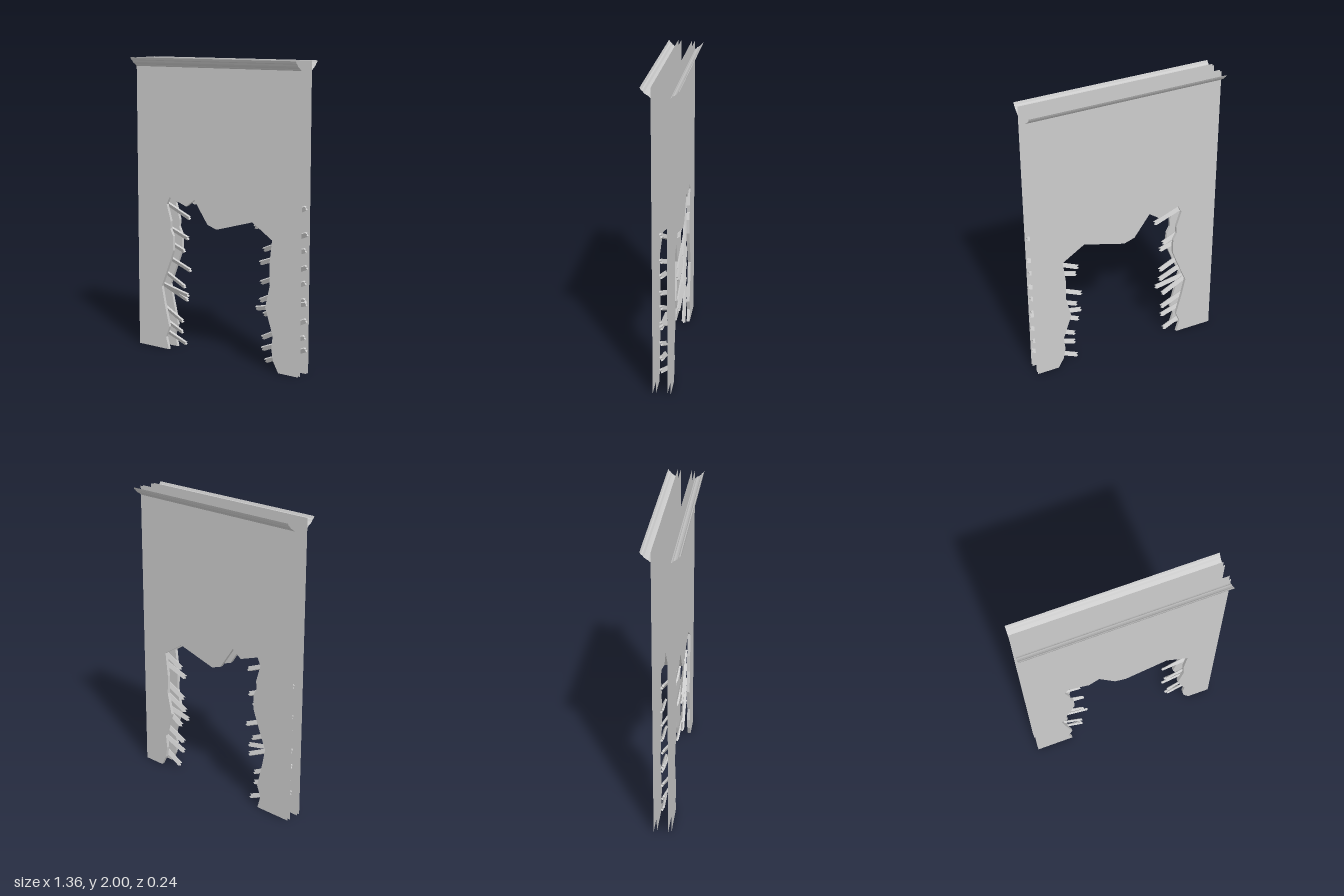
import * as THREE from 'three';

const material = new THREE.MeshStandardMaterial({ color: 0xcccccc, flatShading: true, side: THREE.DoubleSide });
const LEFT = -0.68, RIGHT = 0.655, TOP = 2;
const INNER = 0.037, OUTER = 0.058;

// Ragged edge of the opening, from the bottom on one side to the bottom on the other
const hole = [
  [-0.415, 0], [-0.44, 0.085], [-0.41, 0.16], [-0.45, 0.32], [-0.475, 0.44], [-0.4, 0.62], [-0.37, 0.7],
  [-0.37, 0.8], [-0.395, 0.85], [-0.39, 0.9], [-0.425, 1.015], [-0.4, 1.065], [-0.255, 1.015], [-0.185, 1.065],
  [-0.075, 0.91], [0, 0.885], [0.29, 0.965], [0.445, 0.865], [0.425, 0.7], [0.43, 0.57], [0.395, 0.42],
  [0.455, 0.24], [0.445, 0.15], [0.46, 0.07], [0.5, 0],
];

// Crown moulding profile as [z, y], from the wall up and outwards
const crown = [[0.058, 1.94], [0.066, 1.945], [0.072, 1.952], [0.084, 1.958], [0.097, 1.968],
  [0.106, 1.98], [0.114, 1.985], [0.122, 2]];

// Broken laths as [tip x, tip y, slope, tip z]
const laths = [
  [0.265, 0.925, 0.42, 0.012], [0.31, 0.775, 0.42, -0.027], [0.31, 0.695, 0.36, 0.014],
  [0.29, 0.555, 0.42, -0.027], [0.31, 0.445, 0.48, 0.012], [0.28, 0.39, 0.22, 0.012],
  [0.315, 0.345, 0.45, -0.025], [0.33, 0.2, 0.5, 0.012], [0.33, 0.125, 0.4, 0.014], [0.33, 0.035, 0.42, -0.025],
];

function mesh(geometry, name) {
  const m = new THREE.Mesh(geometry, material);
  m.name = name;
  return m;
}

// Strip of quads between two matching rows of points
function strip(rowA, rowB) {
  const pos = [], index = [];
  rowA.forEach((a, i) => {
    pos.push(...a, ...rowB[i]);
    const k = 2 * i;
    if (i) index.push(k - 2, k - 1, k, k - 1, k + 1, k);
  });
  const g = new THREE.BufferGeometry();
  g.setAttribute('position', new THREE.Float32BufferAttribute(pos, 3));
  g.setIndex(index);
  g.computeVertexNormals();
  return g;
}

// Wall board: two faces joined along the broken edge, open at the outer border
function board(side, name) {
  const group = new THREE.Group();
  group.name = name;
  const outline = [[LEFT, 0], ...hole, [RIGHT, 0], [RIGHT, TOP], [LEFT, TOP]];
  const face = new THREE.ShapeGeometry(new THREE.Shape(outline.map(p => new THREE.Vector2(...p))));
  for (const [z, label] of [[INNER, 'innerFace'], [OUTER, 'outerFace']]) {
    const m = mesh(face, label);
    m.position.z = side * z;
    // Turn the normals of faces that look backwards
    if ((label === 'outerFace') !== (side > 0)) {
      m.geometry = face.clone();
      const order = Array.from(face.index.array).reverse();
      m.geometry.setIndex(order);
      m.geometry.computeVertexNormals();
    }
    group.add(m);
  }
  const row = z => hole.map(([x, y]) => [x, y, side * z]);
  group.add(mesh(strip(row(INNER), row(OUTER)), 'brokenEdge'));
  return group;
}

// Crown moulding swept along the top of one face
function moulding(side, name) {
  const row = x => crown.map(([z, y]) => [x, y, side * z]);
  return mesh(side > 0 ? strip(row(LEFT), row(RIGHT)) : strip(row(RIGHT), row(LEFT)), name);
}

// Splintered strip of wood, with a notched tip at the origin, running along +x
function lathGeometry(length) {
  const h = 0.015, d = 0.014;
  const outline = [[0.012, -h], [0, -0.004], [0.016, 0.003], [0.004, h], [length - 0.006, h],
    [length, 0.004], [length - 0.008, -0.003], [length - 0.004, -h]];
  const shape = new THREE.Shape(outline.map(p => new THREE.Vector2(...p)));
  return new THREE.ExtrudeGeometry(shape, { depth: d, bevelEnabled: false }).translate(0, 0, -d / 2);
}

// All laths of one side, leaning down towards the opening
function lathRow(side, name) {
  const group = new THREE.Group();
  group.name = name;
  laths.forEach(([x, y, slope, z], i) => {
    const tip = new THREE.Vector3(x, y, z);
    const run = 0.655 + 0.01 * (i % 2) - x;
    const along = new THREE.Vector3(run, run * slope, -z);
    const length = along.length();
    const g = lathGeometry(length).rotateX(0.45);
    g.rotateY(Math.asin(z / length));
    g.rotateZ(Math.atan(slope));
    g.translate(tip.x, tip.y, tip.z);
    if (side < 0) {
      // Mirror the points and restore the winding
      g.scale(-1, 1, 1);
      const p = g.attributes.position;
      for (let k = 0; k < p.count; k += 3) {
        const a = new THREE.Vector3().fromBufferAttribute(p, k);
        const b = new THREE.Vector3().fromBufferAttribute(p, k + 1);
        p.setXYZ(k, b.x, b.y, b.z);
        p.setXYZ(k + 1, a.x, a.y, a.z);
      }
      g.computeVertexNormals();
    }
    group.add(mesh(g, 'lath'));
  });
  group.position.x = 0.01;
  return group;
}

export function createModel() {
  const model = new THREE.Group();
  model.name = 'brokenWall';
  model.add(board(1, 'frontBoard'), board(-1, 'backBoard'));
  model.add(moulding(1, 'frontMoulding'), moulding(-1, 'backMoulding'));
  model.add(lathRow(1, 'leftLaths'), lathRow(-1, 'rightLaths'));
  return model;
}
